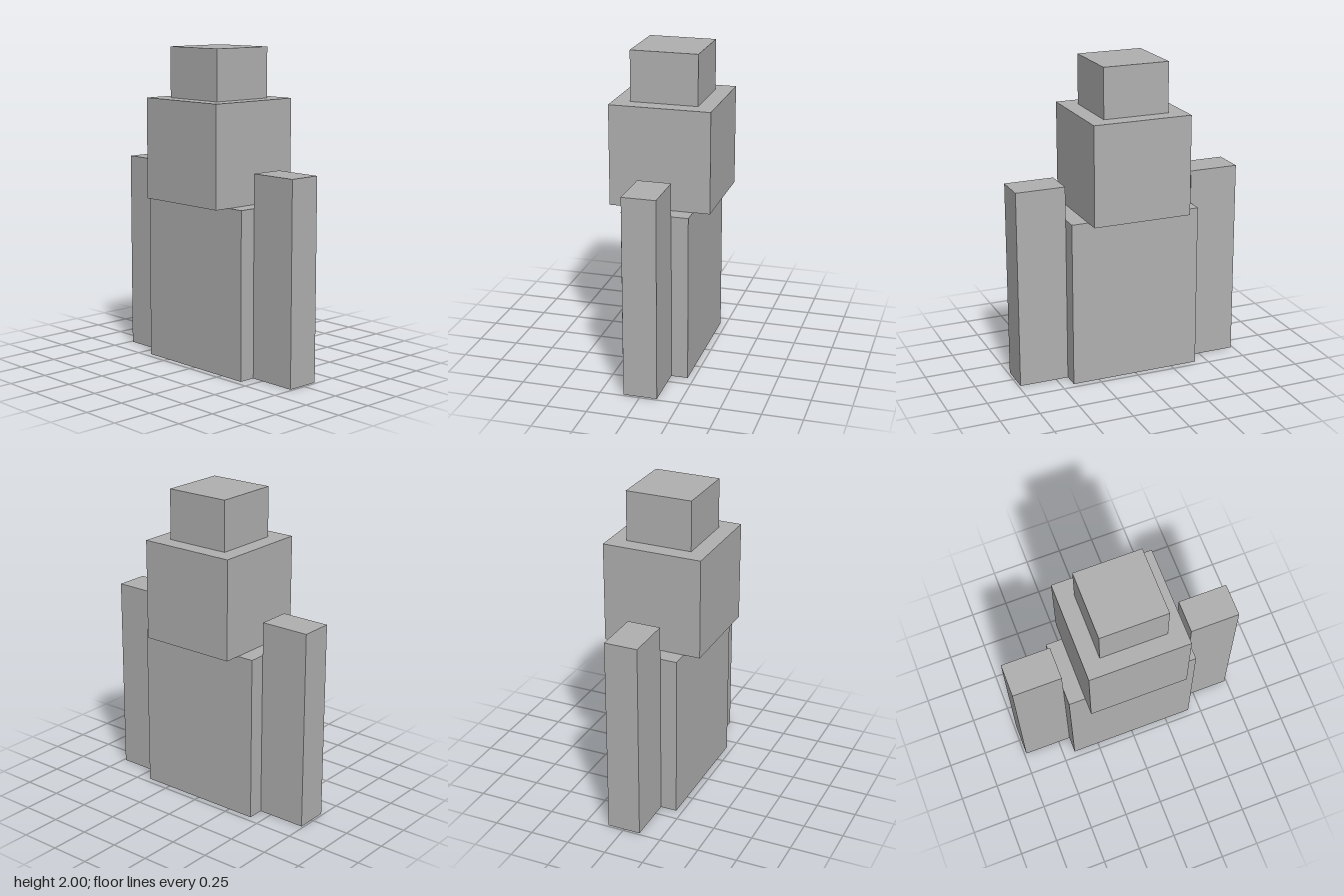
import * as THREE from 'three';

// Everything sits on a block grid 19 units tall
const U = 2 / 19;

export function createModel() {
  const model = new THREE.Group();
  model.name = 'blockFigure';
  const grey = new THREE.MeshStandardMaterial({ color: 0xb0b0b0 });
  grey.name = 'plain grey';

  // Box given by its size, base height and sideways offset in grid units
  const block = (name, w, h, d, base, x = 0) => {
    const mesh = new THREE.Mesh(new THREE.BoxGeometry(w * U, h * U, d * U), grey);
    mesh.name = name;
    mesh.position.set(x * U, (base + h / 2) * U, 0);
    model.add(mesh);
  };

  block('body', 8, 10, 4, 0);
  block('head', 6, 6, 6, 10);
  block('hat', 4, 3, 4, 16);

  // Arms flush against the body sides
  block('leftArm', 3, 12, 2, 0, 5.5);
  block('rightArm', 3, 12, 2, 0, -5.5);

  return model;
}
